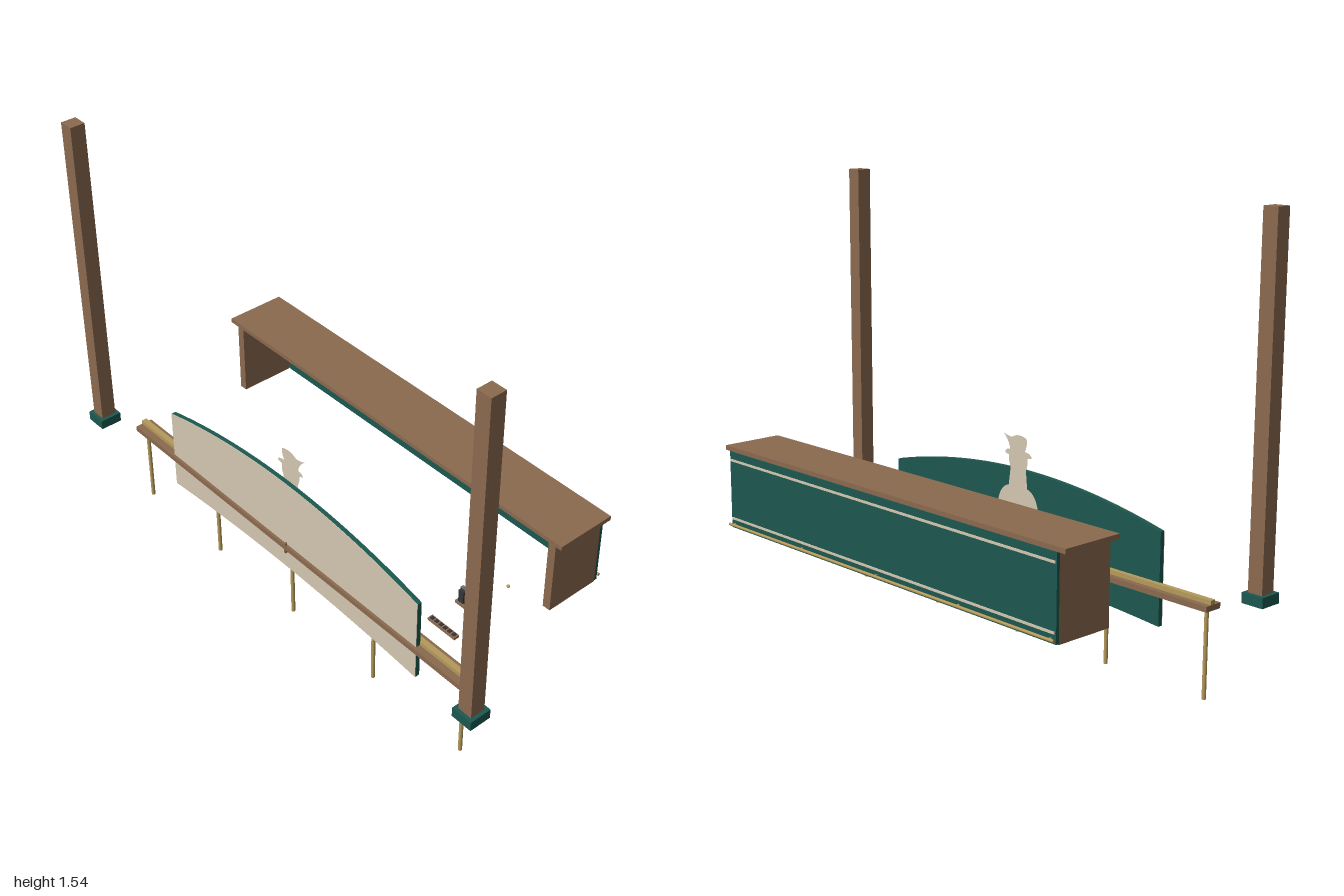
import * as THREE from 'three';

const mat = (color, side = THREE.FrontSide) => new THREE.MeshStandardMaterial({ color, side });
const wood = mat(0x8b6a4e);
const green = mat(0x1c5850);
const brass = mat(0xb59a5b);
const cream = mat(0xd3c7b0);
const paper = mat(0xd3c7b0, THREE.DoubleSide);
const grey = mat(0x6a6c72);
const dark = mat(0x33353b);

export function createModel() {
  const root = new THREE.Group();

  const add = (name, geometry, material, parent = root) => {
    const mesh = new THREE.Mesh(geometry, material);
    mesh.name = name;
    parent.add(mesh);
    return mesh;
  };
  // Box given by its limits on each axis
  const box = (name, material, [x0, x1], [y0, y1], [z0, z1], parent) => {
    const mesh = add(name, new THREE.BoxGeometry(x1 - x0, y1 - y0, z1 - z0), material, parent);
    mesh.position.set((x0 + x1) / 2, (y0 + y1) / 2, (z0 + z1) / 2);
    return mesh;
  };
  const group = (name) => {
    const g = new THREE.Group();
    g.name = name;
    root.add(g);
    return g;
  };

  // Tall corner posts, each in a square socket
  for (const s of [-1, 1]) {
    const post = group(s > 0 ? 'leftPost' : 'rightPost');
    const x = s * 0.96;
    box('shaft', wood, [x - 0.027, x + 0.027], [0.324, 1.536], [0.323, 0.378], post);
    box('socket', green, [x - 0.04, x + 0.04], [0.325, 0.36], [0.31, 0.391], post);
  }

  // Counter, open towards the front
  const counter = group('counter');
  box('top', wood, [-0.83, 0.83], [0.603, 0.619], [-0.372, -0.148], counter);
  for (const s of [-1, 1]) {
    const x = s * 0.785;
    box('endPanel', wood, [x - 0.015, x + 0.015], [0.325, 0.603], [-0.364, -0.155], counter);
  }
  box('backPanel', green, [-0.8, 0.8], [0.328, 0.603], [-0.375, -0.364], counter);
  for (const y of [0.573, 0.362]) {
    box('trim', cream, [-0.795, 0.795], [y - 0.004, y + 0.004], [-0.378, -0.375], counter);
  }
  const footRail = add('footRail', new THREE.CylinderGeometry(0.005, 0.005, 1.6, 12), brass, counter);
  footRail.rotation.z = Math.PI / 2;
  footRail.position.set(0, 0.341, -0.385);
  for (const x of [-0.78, -0.39, 0, 0.39, 0.78]) {
    box('railBracket', brass, [x - 0.004, x + 0.004], [0.337, 0.345], [-0.385, -0.374], counter);
  }

  // Long rail on slim legs
  const rail = group('rail');
  box('board', wood, [-0.86, 0.86], [0.299, 0.318], [0.218, 0.284], rail);
  box('strip', brass, [-0.86, 0.86], [0.318, 0.333], [0.238, 0.258], rail);
  for (let i = -2; i <= 2; i++) {
    const leg = add('leg', new THREE.CylinderGeometry(0.007, 0.007, 0.3, 12), brass, rail);
    leg.position.set(i * 0.416, 0.15, 0.254);
  }

  // Arched board with a pale face
  const arch = new THREE.Shape();
  arch.moveTo(-0.637, 0.185);
  arch.quadraticCurveTo(0, 0.245, 0.637, 0.185);
  arch.lineTo(0.637, 0.5);
  arch.quadraticCurveTo(0, 0.66, -0.637, 0.5);
  arch.closePath();
  const archedBoard = group('archedBoard');
  const slab = (name, z, depth, material) => {
    const geometry = new THREE.ExtrudeGeometry(arch, { depth, bevelEnabled: false, curveSegments: 32 });
    add(name, geometry, material, archedBoard).position.z = z;
  };
  slab('backing', 0.256, 0.016, green);
  slab('face', 0.272, 0.002, cream);

  // Flat cut-out figure behind the board
  const outline = new THREE.Shape();
  outline.moveTo(-0.085, 0.325);
  outline.lineTo(0.085, 0.325);
  outline.quadraticCurveTo(0.11, 0.39, 0.1, 0.44);
  outline.quadraticCurveTo(0.09, 0.51, 0.045, 0.52);
  outline.lineTo(0.036, 0.585);
  outline.quadraticCurveTo(0.046, 0.6, 0.045, 0.626);
  outline.lineTo(0.062, 0.63);
  outline.quadraticCurveTo(0.064, 0.646, 0.04, 0.646);
  outline.quadraticCurveTo(0.04, 0.67, 0.072, 0.7);
  outline.quadraticCurveTo(0.05, 0.69, 0.03, 0.69);
  outline.quadraticCurveTo(0, 0.71, -0.04, 0.694);
  outline.quadraticCurveTo(-0.046, 0.67, -0.032, 0.648);
  outline.quadraticCurveTo(-0.066, 0.646, -0.064, 0.63);
  outline.lineTo(-0.045, 0.626);
  outline.quadraticCurveTo(-0.048, 0.6, -0.038, 0.585);
  outline.lineTo(-0.045, 0.52);
  outline.quadraticCurveTo(-0.09, 0.51, -0.1, 0.44);
  outline.quadraticCurveTo(-0.11, 0.39, -0.085, 0.325);
  add('cutOutFigure', new THREE.ShapeGeometry(outline, 8), paper).position.z = 0.25;

  // Small spigot at the middle of the rail
  const spigot = group('spigot');
  box('arm', dark, [-0.003, 0.003], [0.324, 0.33], [0.19, 0.25], spigot);
  box('nose', wood, [-0.004, 0.004], [0.285, 0.327], [0.276, 0.284], spigot);

  // Rack with four cups
  const rack = group('cupRack');
  box('tray', wood, [0.575, 0.7], [0.325, 0.335], [0.009, 0.047], rack);
  box('back', grey, [0.58, 0.693], [0.335, 0.386], [0.018, 0.03], rack);
  for (let i = 0; i < 4; i++) {
    const x = 0.595 + i * 0.028;
    box('cup', dark, [x - 0.011, x + 0.011], [0.335, 0.383], [0.03, 0.042], rack);
  }

  // Low slotted tray
  const tray = group('slottedTray');
  box('base', wood, [0.575, 0.697], [0.324, 0.333], [0.146, 0.167], tray);
  for (let i = 0; i < 6; i++) {
    const x = 0.587 + i * 0.0195;
    box('slot', dark, [x - 0.006, x + 0.006], [0.333, 0.336], [0.15, 0.163], tray);
  }

  // Loose button near the counter
  add('button', new THREE.CylinderGeometry(0.006, 0.006, 0.004, 12), brass).position.set(0.635, 0.326, -0.135);

  return root;
}
